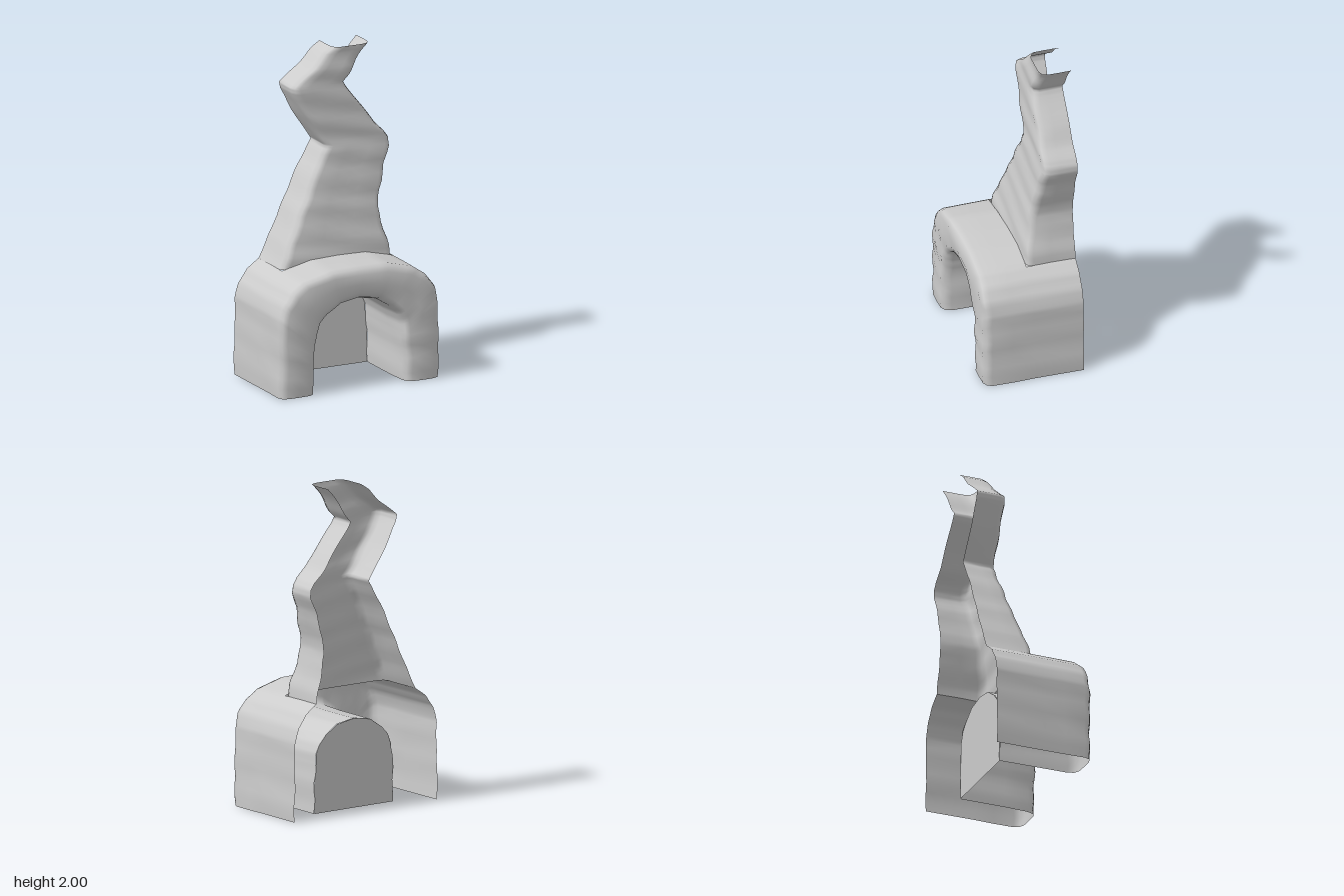
import * as THREE from 'three';
import { mergeVertices } from 'three/addons/utils/BufferGeometryUtils.js';

const BACK = -0.31;      // open rear plane
const FIREBACK = -0.19;  // rear wall of the firebox
const material = new THREE.MeshStandardMaterial({ color: 0xcccccc, side: THREE.DoubleSide });

// Gentle hand-plastered unevenness, fading out at the rear plane
function wobble([x, y, z]) {
  const n = Math.sin(y * 31 + x * 9) * 0.6 + Math.sin(y * 17 - x * 13 + z * 15) * 0.5;
  const m = Math.sin(y * 38 + x * 7 + z * 4);
  return [x + 0.005 * n, y, z > BACK + 0.01 ? z + 0.004 * m : z];
}

// Insert evenly spaced rows between the given rows of numbers
function refine(rows, steps) {
  const out = [];
  for (let i = 0; i < rows.length - 1; i++)
    for (let s = 0; s < steps; s++)
      out.push(rows[i].map((v, k) => v + (rows[i + 1][k] - v) * s / steps));
  out.push(rows[rows.length - 1]);
  return out;
}

// Smooth skin through a list of cross-sections
function skin(name, sections) {
  const w = sections[0].length, index = [];
  for (let r = 0; r < sections.length - 1; r++)
    for (let c = 0; c < w - 1; c++) {
      const a = r * w + c, b = a + 1, d = a + w, e = d + 1;
      index.push(a, b, d, b, e, d);
    }
  let geo = new THREE.BufferGeometry();
  geo.setAttribute('position', new THREE.Float32BufferAttribute(sections.flat().map(wobble).flat(), 3));
  geo.setIndex(index);
  geo = mergeVertices(geo, 1e-5);
  geo.computeVertexNormals();
  const mesh = new THREE.Mesh(geo, material);
  mesh.name = name;
  return mesh;
}

export function createModel() {
  const group = new THREE.Group();
  group.name = 'fireplace';

  // Arch half, crown to floor: outer x, outer y, inner x, inner y, rear z.
  // The crown stops at z = 0, where the hood rises; the shoulders run to the back.
  const half = [
    [0, 0.75, 0, 0.545, 0], [0.19, 0.745, 0.13, 0.525, 0], [0.37, 0.70, 0.21, 0.47, 0],
    [0.37, 0.70, 0.21, 0.47, BACK], [0.45, 0.645, 0.255, 0.42, BACK], [0.505, 0.57, 0.28, 0.36, BACK],
    [0.53, 0.47, 0.29, 0.29, BACK], [0.533, 0.25, 0.292, 0.18, BACK], [0.537, 0, 0.295, 0, BACK],
  ];
  const mirrored = half.slice(1).reverse().map(([ox, oy, ix, iy, z]) => [-ox, oy, -ix, iy, z]);
  const arch = refine([...mirrored, ...half], 4);

  // Surround: outer face, rounded lip, front face, rounded lip, firebox lining
  const surround = arch.map(([ox, oy, ix, iy, zb]) => {
    const len = Math.hypot(ix - ox, iy - oy);
    const at = (d, z) => [ox + (ix - ox) * d / len, oy + (iy - oy) * d / len, z];
    return [
      at(0, zb), at(0, 0), at(0, 0.13), at(0, 0.26), at(0.012, 0.293), at(0.045, 0.31),
      at(len / 2, 0.312), at(len - 0.05, 0.308), at(len - 0.02, 0.29), at(len - 0.006, 0.25),
      at(len, 0.1), at(len, FIREBACK),
    ];
  });
  group.add(skin('archedSurround', surround));

  // Firebox rear wall
  const wall = new THREE.Shape(arch.map(([, , x, y]) => {
    const p = wobble([x, y, FIREBACK]);
    return new THREE.Vector2(p[0], p[1]);
  }));
  const fireback = new THREE.Mesh(new THREE.ShapeGeometry(wall), material);
  fireback.position.z = FIREBACK;
  fireback.name = 'fireboxBack';
  group.add(fireback);

  // Crooked chimney: height, left edge x, right edge x, front z
  const rows = refine([
    [0.70, -0.37, 0.37, 0], [0.77, -0.34, 0.36, -0.005], [0.85, -0.30, 0.34, -0.02],
    [1.00, -0.23, 0.31, -0.045], [1.10, -0.18, 0.33, -0.06], [1.25, -0.11, 0.37, -0.08],
    [1.35, -0.05, 0.41, -0.092], [1.40, -0.02, 0.41, -0.096], [1.44, -0.05, 0.385, -0.10],
    [1.50, -0.09, 0.32, -0.104], [1.60, -0.15, 0.245, -0.108], [1.74, -0.23, 0.14, -0.115],
    [1.78, -0.235, 0.115, -0.115], [1.82, -0.18, 0.15, -0.117], [1.88, -0.10, 0.19, -0.12],
    [1.96, -0.02, 0.245, -0.125], [2.00, 0.04, 0.28, -0.125],
  ], 3);

  // U-shaped sections, open at the back and top
  const chimney = rows.map(([y, l, r, z]) => {
    const side = [[0, BACK], [0, (BACK + z) / 2], [0, z - 0.045], [0.013, z - 0.013], [0.045, z]];
    const mid = [0.33, 0.5, 0.67].map(t => [l + (r - l) * t, y, z]);
    return [
      ...side.map(([d, sz]) => [l + d, y, sz]),
      ...mid,
      ...side.slice().reverse().map(([d, sz]) => [r - d, y, sz]),
    ];
  });
  group.add(skin('crookedChimney', chimney));

  return group;
}
